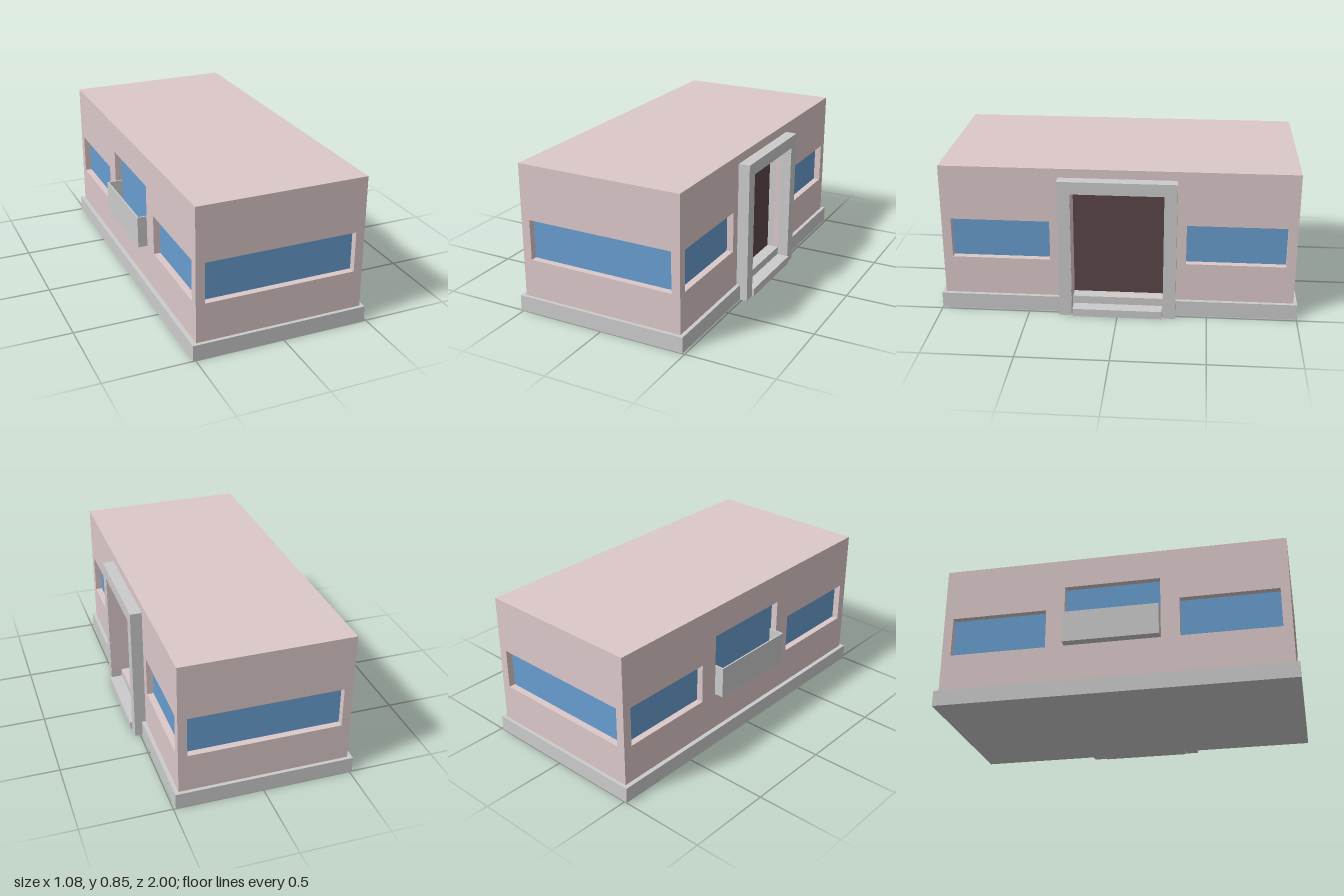
import * as THREE from 'three';

const mat = (color) => new THREE.MeshStandardMaterial({ color });

export function createModel() {
  const grey = mat(0xcccccc), pink = mat(0xdcc8c9), blue = mat(0x689dcf), brown = mat(0x5b4649);
  const CX = -0.0125, HW = 0.4775, HD = 0.98; // body centre and half sizes
  const WALL = 0.04, TOP = 0.85, FLOOR = 0.09;
  const model = new THREE.Group();
  model.name = 'building';

  const add = (parent, name, geometry, material) => {
    const mesh = new THREE.Mesh(geometry, material);
    mesh.name = name;
    parent.add(mesh);
    return mesh;
  };
  // box given by its lower and upper limits
  const box = (parent, name, material, [x0, x1], [y0, y1], [z0, z1]) => {
    const g = new THREE.BoxGeometry(x1 - x0, y1 - y0, z1 - z0);
    g.translate((x0 + x1) / 2, (y0 + y1) / 2, (z0 + z1) / 2);
    return add(parent, name, g, material);
  };
  const outline = (points) => new THREE.Shape(points.map(([x, y]) => new THREE.Vector2(x, y)));
  const rect = (x0, x1, y0, y1) => outline([[x0, y0], [x1, y0], [x1, y1], [x0, y1]]);
  const slab = (shape, depth) => new THREE.ExtrudeGeometry(shape, { depth, bevelEnabled: false });

  // one outer wall with recessed openings; local +z points outwards
  const facade = (name, angle, half, openings) => {
    const group = new THREE.Group();
    group.name = name;
    group.rotation.y = angle;
    group.position.set(CX + Math.sin(angle) * HW, 0, Math.cos(angle) * HD);
    const shape = rect(-half, half, FLOOR - 0.01, TOP);
    for (const { span, glass } of openings) {
      shape.holes.push(rect(...span));
      const [x0, x1, y0, y1] = span;
      if (glass) box(group, 'windowGlass', blue, [x0 - 0.005, x1 + 0.005], [y0 - 0.005, y1 + 0.005], [-WALL - 0.01, -WALL + 0.002]);
    }
    const wall = add(group, 'wall', slab(shape, WALL), pink);
    wall.position.z = -WALL;
    model.add(group);
    return group;
  };

  const wide = { span: [-0.4275, 0.4275, 0.31, 0.54], glass: true };
  const pair = [-1, 1].map((s) => ({
    span: s < 0 ? [-0.928, -0.378, 0.31, 0.54] : [0.378, 0.928, 0.31, 0.54], glass: true,
  }));
  const endHalf = HW - WALL;
  facade('frontWall', 0, endHalf, [wide]);
  facade('backWall', Math.PI, endHalf, [wide]);
  const entrance = facade('entranceWall', Math.PI / 2, HD, [...pair, { span: [-0.255, 0.255, FLOOR, 0.73] }]);
  const balconySide = facade('balconyWall', -Math.PI / 2, HD,
    [...pair, { span: [-0.272, 0.272, 0.31, 0.675], glass: true }]);

  // flat roof between the walls
  box(model, 'roof', pink, [CX - endHalf, CX + endHalf], [TOP - 0.04, TOP], [-HD + WALL, HD - WALL]);

  // plinth, cut back at the doorway
  const plinth = outline([
    [-0.515, -1], [0.487, -1], [0.487, -0.255], [0.467, -0.255],
    [0.467, 0.255], [0.487, 0.255], [0.487, 1], [-0.515, 1],
  ]);
  const base = add(model, 'plinth', slab(plinth, FLOOR), grey);
  base.rotation.x = -Math.PI / 2;

  // door surround, door and step
  const surround = outline([
    [-0.325, 0], [-0.255, 0], [-0.255, 0.73], [0.255, 0.73],
    [0.255, 0], [0.325, 0], [0.325, 0.8], [-0.325, 0.8],
  ]);
  add(entrance, 'doorSurround', slab(surround, 0.1325), grey).position.z = -0.0675;
  box(entrance, 'jambLining', pink, [-0.256, -0.253], [FLOOR, 0.729], [-0.066, 0.063]);
  box(entrance, 'door', brown, [-0.256, 0.256], [FLOOR - 0.005, 0.735], [-0.08, -0.0665]);
  box(entrance, 'doorStep', grey, [-0.25, 0.25], [0, 0.045], [0, 0.075]);

  // open balcony box reaching back to the glass
  const T = 0.008, B = 0.27, OUT = 0.0525;
  const balcony = new THREE.Group();
  balcony.name = 'balcony';
  balconySide.add(balcony);
  box(balcony, 'balconyFloor', grey, [-B, B], [0.31, 0.31 + T], [-WALL, OUT]);
  box(balcony, 'balconyFront', grey, [-B, B], [0.31, 0.492], [OUT - T, OUT]);
  for (const s of [-1, 1]) {
    const side = box(balcony, 'balconySide', grey, [-T / 2, T / 2], [0.31, 0.492], [-WALL, OUT]);
    side.position.x = s * (B - T / 2);
  }
  return model;
}
